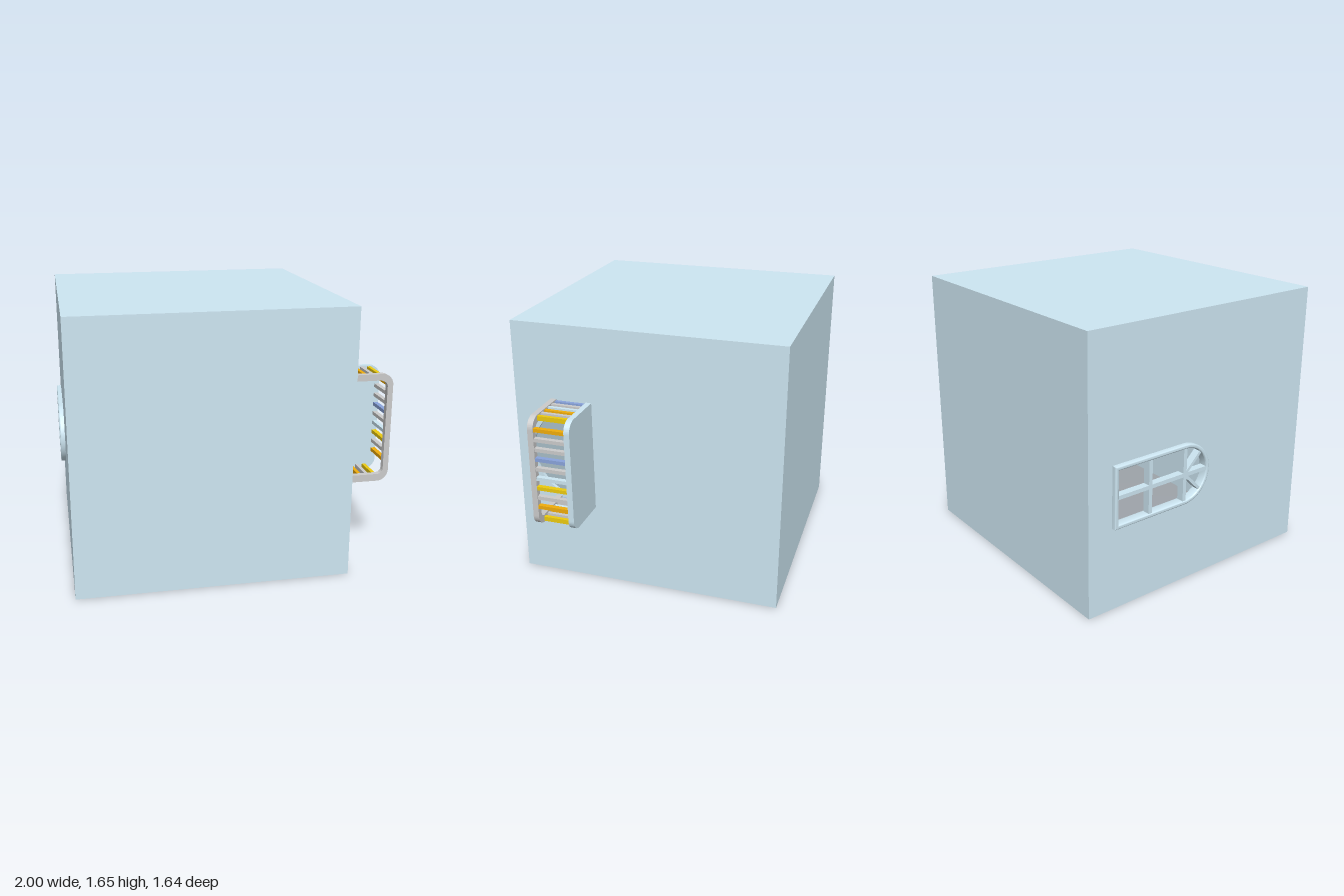
import * as THREE from 'three';
import { toCreasedNormals } from 'three/addons/utils/BufferGeometryUtils.js';

const paint = (color) => new THREE.MeshStandardMaterial({ color, side: THREE.DoubleSide });
const GREY = paint(0xcccccc), SKY = paint(0xcde6f2), BLUE = paint(0x8aa4dc);
const ORANGE = paint(0xf0ad0c), YELLOW = paint(0xecca10);

export function createModel() {
  const root = new THREE.Group();
  const T = 0.02; // wall thickness

  const add = (name, geo, mat, parent = root) => {
    const mesh = new THREE.Mesh(geo, mat);
    mesh.name = name;
    parent.add(mesh);
    return mesh;
  };
  const group = (name) => {
    const g = new THREE.Group();
    g.name = name;
    root.add(g);
    return g;
  };
  // Box given by its lower and upper corners
  const box = (name, a, b, mat, parent) =>
    add(name, new THREE.BoxGeometry(b[0] - a[0], b[1] - a[1], b[2] - a[2]), mat, parent)
      .position.set((a[0] + b[0]) / 2, (a[1] + b[1]) / 2, (a[2] + b[2]) / 2);
  // Extruded shape with crisp edges and smooth curves
  const slab = (shape, depth, bevel = 0) => toCreasedNormals(new THREE.ExtrudeGeometry(shape, {
    depth: depth - 2 * bevel, curveSegments: 24, bevelEnabled: bevel > 0,
    bevelSize: bevel, bevelThickness: bevel, bevelOffset: -bevel, bevelSegments: 3,
  }).translate(0, 0, bevel), 0.6);
  // Slab drawn in (z, y), running from x down to x - depth
  const sideSlab = (shape, x, depth, bevel) =>
    slab(shape, depth, bevel).rotateY(-Math.PI / 2).translate(x, 0, 0);
  const rod = (name, a, b, r, mat, parent) => {
    const path = new THREE.LineCurve3(new THREE.Vector3(...a), new THREE.Vector3(...b));
    add(name, new THREE.TubeGeometry(path, 1, r, 16), mat, parent);
  };
  const wallShape = () => new THREE.Shape([
    new THREE.Vector2(-0.82, 0), new THREE.Vector2(0.82, 0),
    new THREE.Vector2(0.82, 1.65), new THREE.Vector2(-0.82, 1.65)]);

  // Shell, open at the bottom
  const shell = group('shell');
  box('roof', [-0.97, 1.65 - T, -0.82], [0.68, 1.65, 0.82], SKY, shell);
  box('frontWall', [-0.97, 0, 0.82 - T], [0.68, 1.65, 0.82], SKY, shell);
  box('backWall', [-0.97, 0, -0.82], [0.68, 1.65, -0.82 + T], SKY, shell);

  // Left wall with the cut-off round doorway
  const doorWall = wallShape();
  const R = 0.296, cz = 0.424, cut = Math.acos((0.35 - cz) / R);
  doorWall.holes.push(new THREE.Path().absarc(cz, 0.84, R, -cut, cut, false));
  add('doorWall', sideSlab(doorWall, 0.68, T), SKY, shell);

  // Outline of the sideways arched window, shrunk by d
  const wz = -0.155, wy = 0.70;
  const arch = (d, Type) => {
    const s = new Type(), r = 0.187 - d;
    s.moveTo(-0.66 + d, wy - r);
    s.lineTo(wz, wy - r);
    s.absarc(wz, wy, r, -Math.PI / 2, Math.PI / 2, false);
    s.lineTo(-0.66 + d, wy + r);
    s.closePath();
    return s;
  };
  const windowWall = wallShape();
  windowWall.holes.push(arch(0.015, THREE.Path));
  add('windowWall', sideSlab(windowWall, -0.97 + T, T), SKY, shell);

  // Window frame and glazing bars
  const win = group('window');
  const rim = arch(0, THREE.Shape);
  rim.holes.push(arch(0.025, THREE.Path));
  add('windowFrame', sideSlab(rim, -0.94, 0.06, 0.008), SKY, win);
  box('windowCrossBar', [-0.995, wy - 0.012, -0.64], [-0.95, wy + 0.012, 0.01], SKY, win);
  for (const z of [-0.41, wz])
    box('windowUpright', [-0.995, 0.53, z - 0.012], [-0.95, 0.87, z + 0.012], SKY, win);
  for (const s of [-1, 1]) {
    const spoke = add('windowSpoke', new THREE.BoxGeometry(0.045, 0.018, 0.17), SKY, win);
    spoke.position.set(-0.972, wy + s * 0.06, wz + 0.06);
    spoke.rotation.x = -s * Math.PI / 4;
  }

  // Cage: solid back panel, U-shaped front frame and coloured bars
  const cage = group('cage');
  const bracket = (Type, x, y0, y1, r) => {
    const s = new Type();
    s.moveTo(0.68, y0);
    s.lineTo(x - r, y0);
    s.absarc(x - r, y0 + r, r, -Math.PI / 2, 0, false);
    s.lineTo(x, y1 - r);
    s.absarc(x - r, y1 - r, r, 0, Math.PI / 2, false);
    s.lineTo(0.68, y1);
    return s;
  };
  add('cagePanel', slab(bracket(THREE.Shape, 1, 0.5, 1.19, 0.07), 0.035).translate(0, 0, 0.33), SKY, cage);
  const frame = bracket(THREE.Shape, 1, 0.5, 1.19, 0.07);
  frame.lineTo(0.68, 1.15);
  frame.lineTo(0.93, 1.15);
  frame.absarc(0.93, 1.11, 0.035, Math.PI / 2, 0, true);
  frame.lineTo(0.965, 0.58);
  frame.absarc(0.93, 0.58, 0.035, 0, -Math.PI / 2, true);
  frame.lineTo(0.68, 0.545);
  add('cageFrame', slab(frame, 0.035).translate(0, 0, 0.553), GREY, cage);

  const bar = (x, y, w, h, mat) =>
    box('cageBar', [x - w / 2, y - h / 2, 0.35], [x + w / 2, y + h / 2, 0.57], mat, cage);
  [BLUE, GREY, SKY, ORANGE, GREY, YELLOW].forEach((m, i) => {
    for (const y of [0.52, 1.17]) bar(0.693 + i * 0.0465, y, 0.022, 0.028, m);
  });
  [ORANGE, GREY, YELLOW, SKY, GREY, BLUE, GREY, GREY, ORANGE].forEach((m, i) =>
    bar(0.983, 0.63 + i * 0.0613, 0.028, 0.022, m));

  // Inner partition
  box('partition', [-0.95, 0.31, 0.27], [0.66, 1.63, 0.29], SKY);

  // Bottle with a bent spout, and a perch, behind the doorway
  const bottle = [[0, 0.865], [0.04, 0.87], [0.055, 0.89], [0.055, 1.14], [0, 1.15]]
    .map((p) => new THREE.Vector2(...p));
  add('bottle', toCreasedNormals(new THREE.LatheGeometry(bottle, 32), 0.7), GREY).position.set(0.2, 0, 0.485);
  const spout = new THREE.CatmullRomCurve3([[1.1, 0.36], [1.08, 0.41], [0.85, 0.41], [0.78, 0.39], [0.77, 0.28]]
    .map(([y, z]) => new THREE.Vector3(0.2, y, z)));
  add('spout', new THREE.TubeGeometry(spout, 32, 0.013, 12), GREY);
  rod('perch', [0.2, 0.725, 0.28], [0.2, 0.725, 0.555], 0.025, GREY);

  // Low ladder inside
  const ladder = group('ladder');
  for (const x of [0.38, 0.58])
    rod('ladderRail', [x, 0.14, -0.63], [x, 0.21, 0.26], 0.015, GREY, ladder);
  for (let i = 0; i < 9; i++) {
    const t = (i + 0.5) / 9, y = 0.14 + 0.07 * t, z = -0.63 + 0.89 * t;
    rod('ladderRung', [0.38, y, z], [0.58, y, z], 0.014, [YELLOW, GREY, ORANGE][i % 3], ladder);
  }
  return root;
}
